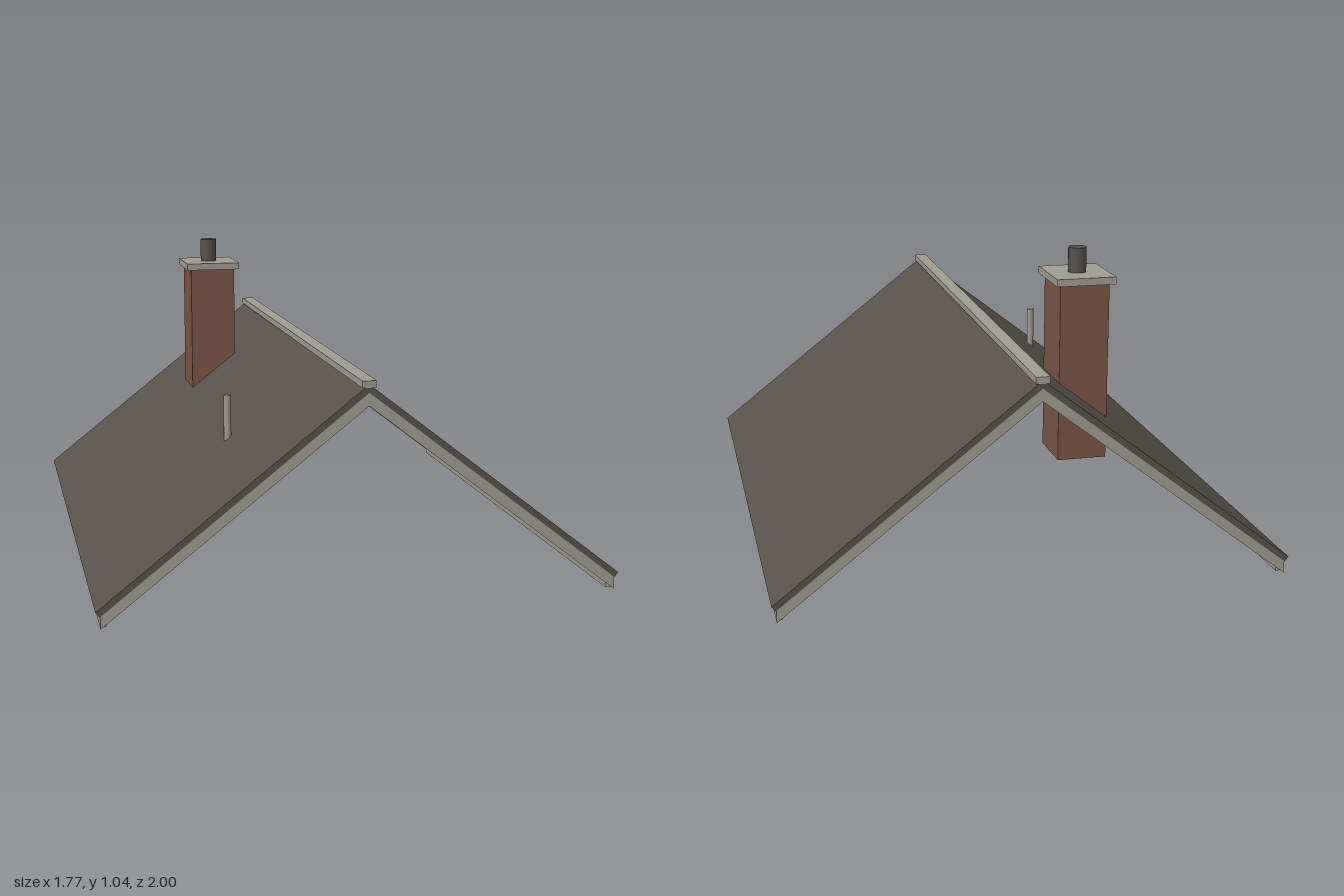
import * as THREE from 'three';

const mat = (name, color) => {
  const m = new THREE.MeshStandardMaterial({ color });
  m.name = name;
  return m;
};

export function createModel() {
  const slate = mat('slate', 0x57524b);
  const trim = mat('pale trim', 0xa09c90);
  const brick = mat('brick', 0x7a5546);
  const clay = mat('dark pot', 0x55524d);

  const model = new THREE.Group();
  model.name = 'gableRoof';
  const roof = new THREE.Group();
  roof.name = 'roof';
  roof.rotation.y = 0.031;
  model.add(roof);

  const add = (name, geometry, material, x, y, z) => {
    const mesh = new THREE.Mesh(geometry, material);
    mesh.name = name;
    mesh.position.set(x, y, z);
    roof.add(mesh);
    return mesh;
  };
  const box = (name, w, h, d, material, x, y, z) =>
    add(name, new THREE.BoxGeometry(w, h, d), material, x, y, z);

  // Inverted V profile, extruded along the ridge
  const chevron = (xTop, yTop, apexTop, xLow, yLow, apexLow, depth) => {
    const shape = new THREE.Shape([
      [xTop, yTop], [0, apexTop], [-xTop, yTop],
      [-xLow, yLow], [0, apexLow], [xLow, yLow],
    ].map(([x, y]) => new THREE.Vector2(x, y)));
    return new THREE.ExtrudeGeometry(shape, { depth, bevelEnabled: false });
  };

  const half = 0.972;

  // Both slopes, with eaves cut square to the pitch
  add('roofSlopes', chevron(0.857, 0.055, 0.723, 0.844, 0.039, 0.697, half * 2), slate, 0, 0, -half);

  // Sloping boards under each gable end
  const board = 0.02;
  for (const [name, z] of [['frontRakeBoard', half - board], ['backRakeBoard', -half]]) {
    add(name, chevron(0.842, 0.041, 0.697, 0.842, 0, 0.655, board), trim, 0, 0, z);
  }

  // Boards along the eaves
  for (const side of [1, -1]) {
    box(side > 0 ? 'leftFascia' : 'rightFascia', 0.02, 0.041, half * 2 - board * 2, trim, side * 0.832, 0.0205, 0);
  }

  box('ridgeCap', 0.046, 0.022, half * 2 + 0.004, trim, 0, 0.724, 0);

  // Chimney
  const cx = -0.25, cz = -0.498;
  box('chimneyStack', 0.17, 0.61, 0.19, brick, cx, 0.625, cz);
  box('chimneyCap', 0.204, 0.025, 0.228, trim, cx, 0.9425, cz);
  add('chimneyPot', new THREE.CylinderGeometry(0.031, 0.031, 0.09, 16), clay, cx, 0.995, cz);

  // Vent pipe through the right slope
  add('ventPipe', new THREE.CylinderGeometry(0.013, 0.013, 0.19, 10), trim, -0.349, 0.505, 0.44);

  return model;
}
